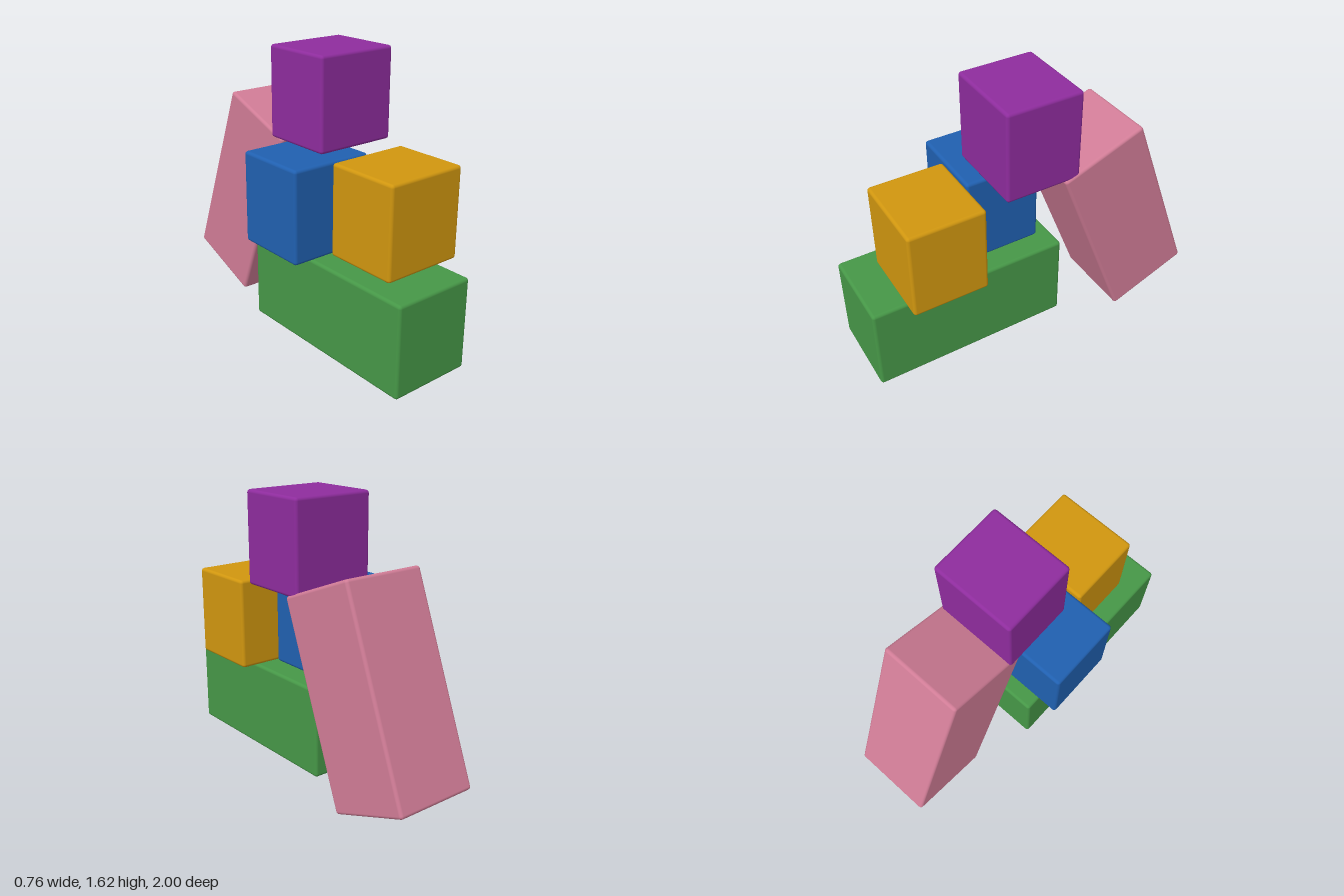
import * as THREE from 'three';
import { RoundedBoxGeometry } from 'three/addons/geometries/RoundedBoxGeometry.js';

const WIDTH = 0.497, HEIGHT = 0.526, SHORT = 0.444, LONG = 1.175, BEVEL = 0.018;

function material(name, color) {
  const m = new THREE.MeshStandardMaterial({ color });
  m.name = name;
  return m;
}

export function createModel() {
  const group = new THREE.Group();
  group.name = 'stackedBlocks';

  // One soft-edged toy block, placed by its centre and tilted about x
  function addBlock(name, depth, position, mat, tilt = 0) {
    const mesh = new THREE.Mesh(new RoundedBoxGeometry(WIDTH, HEIGHT, depth, 3, BEVEL), mat);
    mesh.name = name;
    mesh.position.set(...position);
    mesh.rotation.x = tilt;
    group.add(mesh);
  }

  // Long base block, two cubes on it and one on top
  addBlock('baseBlock', LONG, [-0.007, 0.292, 0.412], material('green', 0x469747));
  addBlock('frontBlock', SHORT, [0.104, 0.824, 0.587], material('orange', 0xd0960f));
  addBlock('middleBlock', SHORT, [-0.132, 0.824, 0.133], material('blue', 0x2060b0));
  addBlock('topBlock', SHORT, [0.122, 1.358, 0.035], material('purple', 0x8e2c9d));

  // Long block leaning against the stack from behind
  addBlock('leaningBlock', LONG, [0.129, 0.641, -0.549], material('pink', 0xd07c96), 0.367 - Math.PI / 2);

  return group;
}
